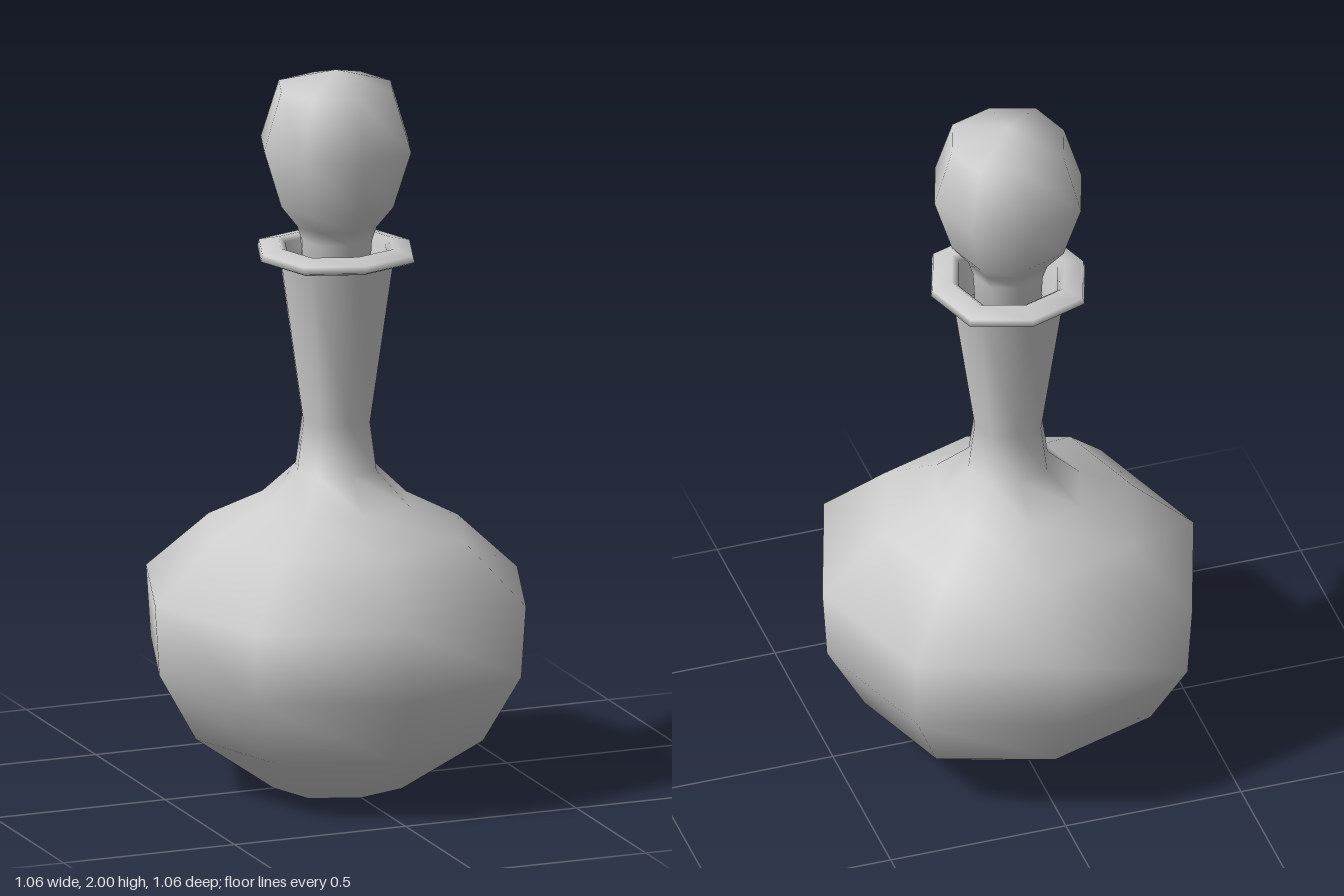
import * as THREE from 'three';
import { mergeVertices } from 'three/addons/utils/BufferGeometryUtils.js';

const material = new THREE.MeshStandardMaterial({ color: 0xcccccc, side: THREE.DoubleSide });

// Eight-sided smooth turned shape; the diagonal corners sit slightly further out
function turned(name, profile) {
  const points = profile.map(([r, y]) => new THREE.Vector2(r, y));
  let geometry = new THREE.LatheGeometry(points, 8);
  const pos = geometry.attributes.position;
  for (let i = 0; i < pos.count; i++) {
    const x = pos.getX(i), z = pos.getZ(i);
    if (Math.min(Math.abs(x), Math.abs(z)) > 0.001) {
      pos.setX(i, x * 1.055);
      pos.setZ(i, z * 1.055);
    }
  }
  // Weld the seam so the shading is continuous
  geometry.deleteAttribute('uv');
  geometry.deleteAttribute('normal');
  geometry = mergeVertices(geometry, 1e-4);
  geometry.computeVertexNormals();
  const mesh = new THREE.Mesh(geometry, material);
  mesh.name = name;
  return mesh;
}

export function createModel() {
  const group = new THREE.Group();
  group.name = 'decanter';

  // Round body rising into a flared neck
  group.add(turned('bottle', [
    [0, 0], [0.183, 0], [0.41, 0.16], [0.517, 0.35], [0.53, 0.55],
    [0.355, 0.715], [0.205, 0.795], [0.113, 0.885], [0.095, 1.02], [0.16, 1.475],
  ]));

  // Flat lip around the mouth, folding down inside the neck
  group.add(turned('lip', [
    [0.155, 1.47], [0.2, 1.473], [0.22, 1.482], [0.215, 1.5],
    [0.16, 1.513], [0.142, 1.5], [0.125, 1.38],
  ]));

  // Stopper with a stem reaching into the neck
  group.add(turned('stopper', [
    [0, 1.36], [0.09, 1.36], [0.1, 1.53], [0.113, 1.57], [0.16, 1.63],
    [0.21, 1.79], [0.16, 1.953], [0, 2],
  ]));

  return group;
}
